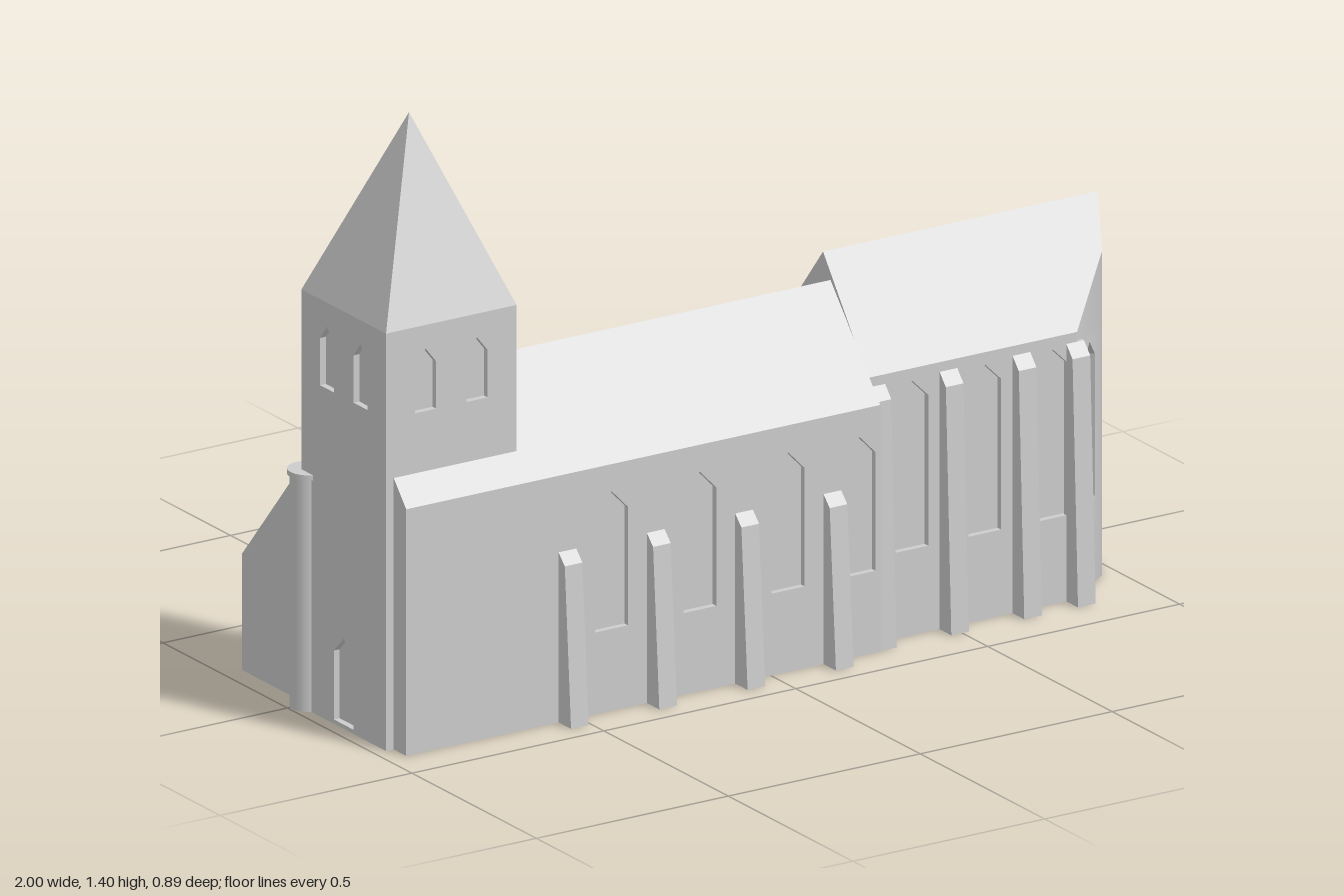
import * as THREE from 'three';

const stone = new THREE.MeshStandardMaterial({ color: 0xcccccc });
stone.name = 'pale stone';
const D = 0.015; // depth of the window recesses

function add(parent, name, geometry) {
  const mesh = new THREE.Mesh(geometry, stone);
  mesh.name = name;
  parent.add(mesh);
  return mesh;
}

function shapeOf(points) {
  return new THREE.Shape(points.map(([x, y]) => new THREE.Vector2(x, y)));
}

// Cross-section of [z, y] points swept along x
function prismX(points, x0, x1) {
  const g = new THREE.ExtrudeGeometry(shapeOf(points.map(([z, y]) => [-z, y])), { depth: x1 - x0, bevelEnabled: false });
  return g.rotateY(Math.PI / 2).translate(x0, 0, 0);
}

// Plan of [x, z] points raised to a height
function prismY(points, h) {
  const g = new THREE.ExtrudeGeometry(shapeOf(points.map(([x, z]) => [x, -z])), { depth: h, bevelEnabled: false });
  return g.rotateX(-Math.PI / 2);
}

// Rounds the shading of the upright apse faces
function roundApse(g) {
  const p = g.attributes.position, n = g.attributes.normal;
  for (let i = 0; i < p.count; i++) {
    const v = new THREE.Vector3(p.getX(i) - 0.78, 0, p.getZ(i) - 0.155).normalize();
    const m = new THREE.Vector3().fromBufferAttribute(n, i);
    if (m.x > 0.1 && Math.abs(m.y) < 0.1 && m.dot(v) > 0.75) n.setXYZ(i, v.x, v.y, v.z);
  }
  return g;
}

// Wall skin from plan point a to b with pointed openings [centre, width, sill, shoulder, peak].
// notch cuts half an opening at the 'start' or 'end' of the wall.
function wall(a, b, h, windows, notch) {
  const dx = b[0] - a[0], dz = b[1] - a[1], L = Math.hypot(dx, dz);
  let outline = [[0, 0], [L, 0], [L, h], [0, h]];
  if (notch) {
    const w = 0.033;
    outline = [[0, 0], [L, 0], [L, 0.2], [L - w, 0.2], [L - w, 0.53], [L, 0.57], [L, h], [0, h]];
    if (notch === 'start') outline = outline.map(([x, y]) => [L - x, y]).reverse();
  }
  const shape = shapeOf(outline);
  for (const [c, w, y0, y1, y2] of windows) {
    shape.holes.push(shapeOf([[c - w / 2, y0], [c - w / 2, y1], [c, y2], [c + w / 2, y1], [c + w / 2, y0]]));
  }
  const g = new THREE.ExtrudeGeometry(shape, { depth: D, bevelEnabled: false });
  return g.translate(0, 0, -D).rotateY(Math.atan2(-dz, dx)).translate(a[0], 0, a[1]);
}

function buildNave(root) {
  const nave = new THREE.Group();
  nave.name = 'nave';
  root.add(nave);
  const x0 = -0.95, x1 = 0.285;
  add(nave, 'naveBody', prismX([[0.385, 0], [0.385, 0.555], [0.4, 0.555], [0.4, 0.573], [0.2, 0.803], [-0.245, 0.287], [-0.245, 0]], x0, x1));
  const windows = [-0.415, -0.185, 0.045, 0.23].map(x => [x - x0, 0.086, 0.19, 0.465, 0.51]);
  add(nave, 'naveFrontWall', wall([x0, 0.4], [x1, 0.4], 0.555, windows));

  // Low back wall, its openings cutting through the eave
  let start = x0;
  for (const [l, r] of [[-0.455, -0.37], [-0.225, -0.14], [0, 0.09], [0.19, 0.27], [x1, x1]]) {
    add(nave, 'naveBackWall', prismX([[-0.245, 0], [-0.245, 0.287], [-0.26, 0.27], [-0.26, 0]], start, l));
    if (r > l) add(nave, 'backWindowSill', prismX([[-0.245, 0], [-0.245, 0.19], [-0.26, 0.19], [-0.26, 0]], l, r));
    start = r;
  }

  // Buttresses on both long sides
  const profile = [[0.398, 0], [0.45, 0], [0.425, 0.37], [0.4, 0.395]];
  for (const x of [-0.53, -0.3, -0.07, 0.16]) {
    add(nave, 'naveButtressFront', prismX(profile, x - 0.023, x + 0.023));
    add(nave, 'naveButtressBack', prismX(profile.map(([z, y]) => [0.14 - z, y]), x - 0.023, x + 0.023));
  }
}

function buildChoir(root) {
  const choir = new THREE.Group();
  choir.name = 'choir';
  root.add(choir);
  const x0 = 0.285, split = 0.6;
  const plan = [[x0, 0.35], [0.83, 0.35], [0.96, 0.25], [1, 0.17], [0.96, 0.07], [0.83, -0.04], [x0, -0.04], [x0, 0.17]];
  const inner = [[x0, 0.335], [0.825, 0.335], [0.946, 0.242], [0.982, 0.17], [0.946, 0.078], [0.825, -0.025], [x0, -0.025]];
  add(choir, 'choirCore', prismY(inner, split));

  // Lower walls with tall pointed windows
  const tall = [0.4, 0.59, 0.767].map(x => [x - x0, 0.085, 0.2, 0.55, 0.592]);
  const apse = L => [[L / 2, 0.07, 0.2, 0.53, 0.57]];
  const len = i => Math.hypot(plan[i + 1][0] - plan[i][0], plan[i + 1][1] - plan[i][1]);
  const openings = [tall, apse(len(1)), [], [], apse(len(4)), []];
  const notches = [null, null, 'end', 'start', null, null];
  openings.forEach((o, i) => {
    const g = wall(plan[i], plan[i + 1], split, o, notches[i]);
    add(choir, i % 5 ? 'apseWall' : 'choirWall', i % 5 ? roundApse(g) : g);
  });

  // Gabled roof cut off by the outline of the apse
  const top = ([x, z]) => [x, 0.86 - (z > 0.17 ? 1.33 : 1.22) * Math.abs(z - 0.17), z];
  const low = ([x, z]) => [x, split, z];
  const faces = plan.map((a, i) => {
    const b = plan[(i + 1) % plan.length];
    return [low(a), low(b), top(b), top(a)];
  });
  faces.push([0, 1, 2, 3, 7].map(i => top(plan[i])), [7, 3, 4, 5, 6].map(i => top(plan[i])));
  const pos = [];
  for (const f of faces) for (let i = 1; i < f.length - 1; i++) pos.push(...f[0], ...f[i], ...f[i + 1]);
  const g = new THREE.BufferGeometry();
  g.setAttribute('position', new THREE.Float32BufferAttribute(pos, 3));
  g.computeVertexNormals();
  add(choir, 'choirRoof', roundApse(g));

  for (const x of [0.307, 0.495, 0.685, 0.825]) {
    add(choir, 'choirButtress', prismX([[0.34, 0], [0.397, 0], [0.375, 0.57], [0.35, 0.598], [0.34, 0.598]], x - 0.023, x + 0.023));
  }
}

function buildTower(root) {
  const tower = new THREE.Group();
  tower.name = 'tower';
  root.add(tower);
  const h = 0.97, s = 0.34, cx = -0.8, cz = 0.18, r = s / 2;
  const core = new THREE.BoxGeometry(s - 2 * D, h, s - 2 * D);
  add(tower, 'towerCore', core.translate(cx, h / 2, cz));

  // Four faces with paired belfry openings, the west one with a door
  const corners = [[cx - r, cz + r], [cx + r, cz + r], [cx + r, cz - r], [cx - r, cz - r]];
  corners.forEach((a, i) => {
    const openings = [-0.067, 0.067].map(o => [r + o, 0.055, 0.77, 0.88, 0.915]);
    if (i === 3) openings.push([r, 0.08, 0.01, 0.17, 0.21]);
    add(tower, 'towerWall', wall(a, corners[(i + 1) % 4], h, openings));
  });

  const spire = new THREE.ConeGeometry(r * Math.SQRT2, 0.43, 4).toNonIndexed();
  spire.computeVertexNormals();
  add(tower, 'spire', spire.rotateY(Math.PI / 4).translate(cx, h + 0.215, cz));

  // Round stair turret
  add(tower, 'stairTurret', new THREE.CylinderGeometry(0.042, 0.042, 0.54, 24).translate(-0.953, 0.27, 0.012));
  add(tower, 'turretCap', new THREE.CylinderGeometry(0.048, 0.048, 0.012, 24).translate(-0.952, 0.546, 0.012));
}

export function createModel() {
  const root = new THREE.Group();
  root.name = 'church';
  buildNave(root);
  buildChoir(root);
  buildTower(root);
  // Sacristy behind the choir
  add(root, 'sacristy', prismX([[-0.03, 0], [-0.03, 0.239], [-0.24, 0.37], [-0.445, 0.24], [-0.445, 0]], 0.275, 0.655));
  return root;
}
